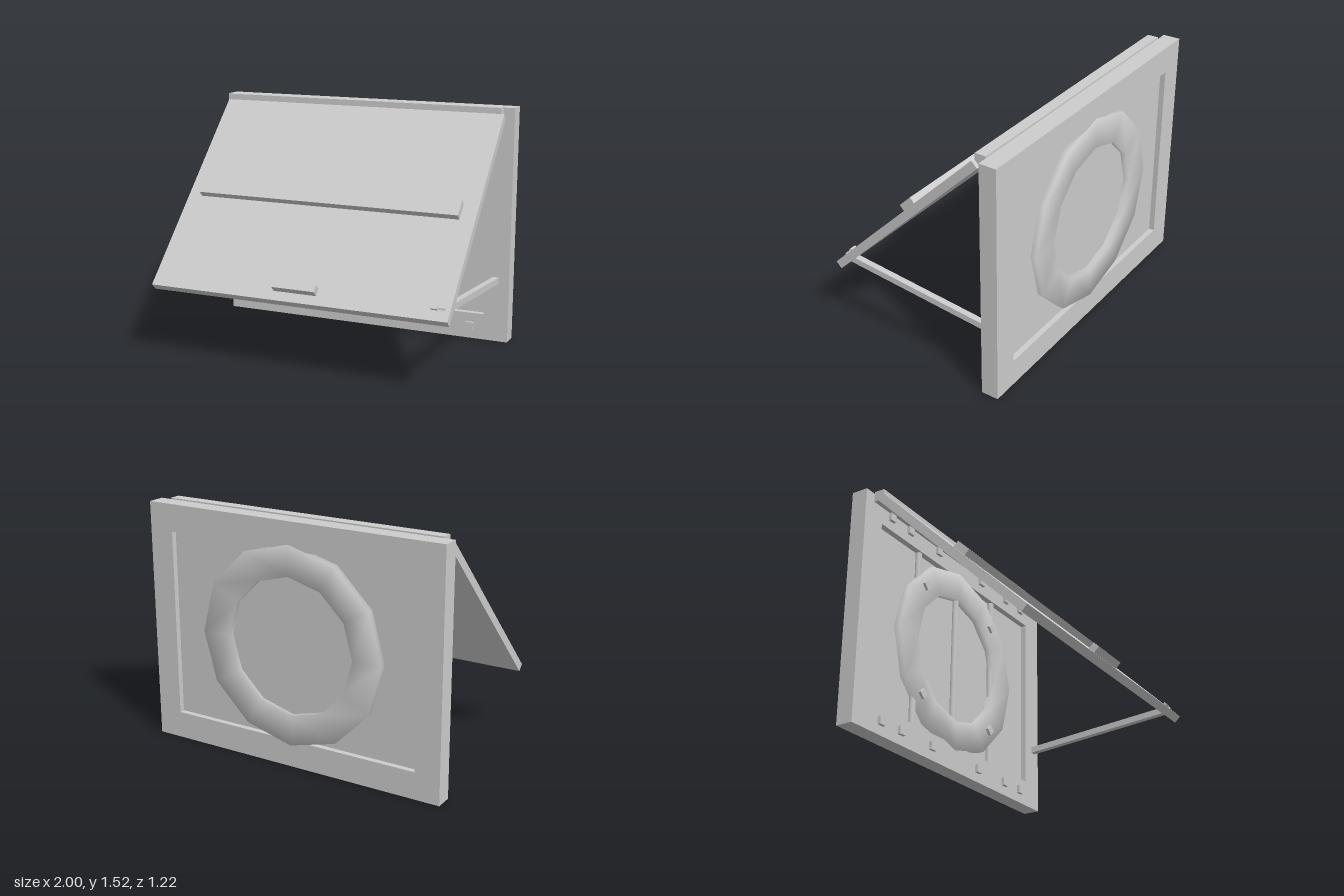
import * as THREE from 'three';

export function createModel() {
  const model = new THREE.Group();
  model.name = 'wallCabinet';
  const grey = new THREE.MeshStandardMaterial({ color: 0xcccccc });
  grey.name = 'light grey';

  const H = 1.515, midY = H / 2, front = -0.5, back = -0.61;

  function add(name, geometry, x, y, z, parent = model) {
    const mesh = new THREE.Mesh(geometry, grey);
    mesh.name = name;
    mesh.position.set(x, y, z);
    parent.add(mesh);
    return mesh;
  }
  const box = (name, w, h, d, x, y, z, parent) =>
    add(name, new THREE.BoxGeometry(w, h, d), x, y, z, parent);

  // Upright frame with a rectangular opening
  const rect = (s, w, h) => s.moveTo(-w, -h).lineTo(w, -h).lineTo(w, h).lineTo(-w, h).closePath();
  const outline = rect(new THREE.Shape(), 1, midY);
  outline.holes.push(rect(new THREE.Path(), 0.84, midY - 0.17));
  add('frame', new THREE.ExtrudeGeometry(outline, { depth: front - back, bevelEnabled: false }), 0, midY, back);

  // Recessed panel and the rods in front of it
  box('recessedPanel', 1.68, H - 0.34, 0.035, 0, midY, -0.5575);
  for (const x of [-0.42, 0, 0.42]) {
    add('rod', new THREE.CylinderGeometry(0.022, 0.022, H - 0.34, 16), x, midY, -0.53);
  }

  // Twelve-sided ring with a softly shaded square section
  const h = 0.058, inner = 0.43, outer = 0.62;
  const section = [[inner, 0], [inner, -h], [outer, -h], [outer, h], [inner, h], [inner, 0]]
    .map(([r, y]) => new THREE.Vector2(r, y));
  const ring = new THREE.LatheGeometry(section, 12);
  ring.rotateX(Math.PI / 2);
  add('ring', ring, 0, midY, -0.555);

  // Clips on the ring diagonals
  for (const sx of [-1, 1]) for (const sy of [-1, 1]) {
    box('ringClip', 0.05, 0.05, 0.04, sx * 0.371, midY + sy * 0.371, -0.5).rotation.z = Math.PI / 4;
  }

  // Square studs along the bottom and top rails
  for (const y of [0.085, H - 0.085]) for (const x of [0.25, 0.56, 0.75]) for (const s of [-1, 1]) {
    box('stud', 0.05, 0.05, 0.04, s * x, y, -0.5);
  }

  // Hinge bar along the top
  box('hingeBar', 1.86, 0.068, 0.07, 0, 1.488, -0.46);

  // Lid tilted at 45 degrees; its local z = 0 is the outer face, local y runs up the slope
  const lid = new THREE.Group();
  lid.name = 'lid';
  lid.position.set(0, 0.97, 0.095);
  lid.rotation.x = -Math.PI / 4;
  model.add(lid);
  box('lidPanel', 1.91, 1.457, 0.052, 0, 0, -0.026, lid);
  box('lidRib', 1.72, 0.11, 0.044, 0, 0, 0.022, lid);
  box('lidHandle', 0.275, 0.049, 0.047, 0, -0.643, 0.0235, lid);
  box('lidLatch', 0.04, 0.022, 0.014, 0.86, -0.65, 0.007, lid);

  // Prop strut from the frame to the lid
  const from = new THREE.Vector3(0.915, 0.41, -0.488), to = new THREE.Vector3(0.905, 0.497, 0.56);
  const strut = box('propStrut', 0.04, 0.04, from.distanceTo(to), 0, 0, 0);
  strut.position.copy(from).add(to).multiplyScalar(0.5);
  strut.lookAt(to);

  return model;
}
